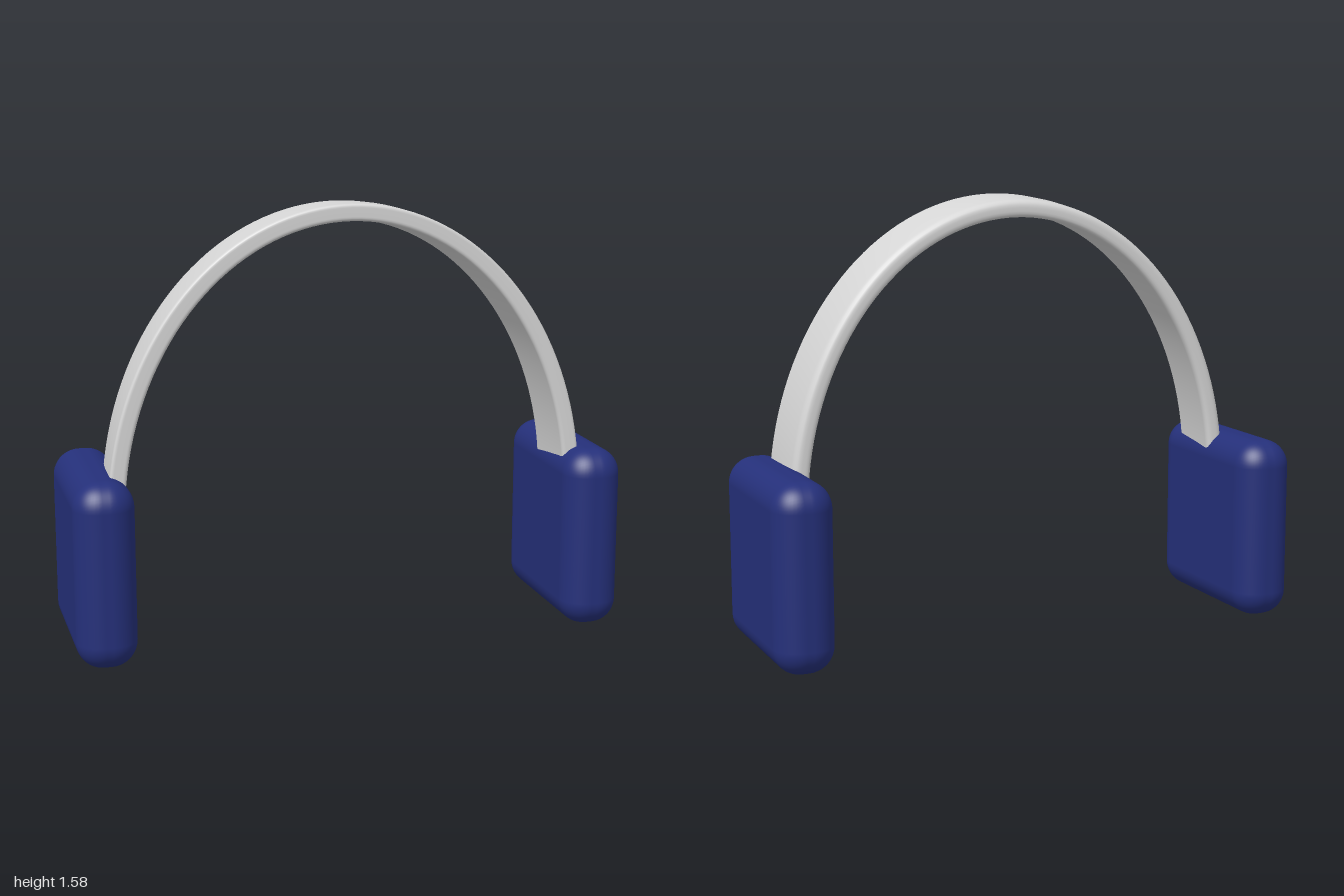
import * as THREE from 'three';
import { RoundedBoxGeometry } from 'three/addons/geometries/RoundedBoxGeometry.js';

// Rounded, slightly tilted band section: x = depth (z), y = height off the arch centreline
function bandSection() {
  const s = new THREE.Shape();
  s.moveTo(-0.015, -0.037);
  s.lineTo(0.185, -0.024);
  s.quadraticCurveTo(0.2, -0.023, 0.2, -0.008);
  s.lineTo(0.2, 0.024);
  s.quadraticCurveTo(0.2, 0.038, 0.186, 0.037);
  s.lineTo(0.08, 0.034);
  s.lineTo(-0.01, 0.027);
  s.quadraticCurveTo(-0.04, 0.024, -0.04, -0.002);
  s.lineTo(-0.04, -0.015);
  s.quadraticCurveTo(-0.04, -0.038, -0.015, -0.037);
  const pts = s.getPoints(5);
  pts.pop();
  return pts;
}

// Sweep the section over half an ellipse
function archGeometry(section, a, b, cy, steps) {
  const n = section.length, pos = [], idx = [];
  for (let i = 0; i <= steps; i++) {
    const t = (i / steps) * Math.PI;
    const c = Math.cos(t), s = Math.sin(t);
    const len = Math.hypot(c / a, s / b);
    const nx = c / a / len, ny = s / b / len;
    for (const p of section) pos.push(a * c + nx * p.y, cy + b * s + ny * p.y, p.x);
  }
  for (let i = 0; i < steps; i++) {
    for (let j = 0; j < n; j++) {
      const p = i * n + j, q = i * n + (j + 1) % n;
      idx.push(p, q, p + n, q, q + n, p + n);
    }
  }
  const g = new THREE.BufferGeometry();
  g.setAttribute('position', new THREE.Float32BufferAttribute(pos, 3));
  g.setIndex(idx);
  g.computeVertexNormals();
  return g;
}

export function createModel() {
  const model = new THREE.Group();
  model.name = 'headphones';

  const navy = new THREE.MeshStandardMaterial({ color: 0x25307a });
  navy.name = 'navy';
  const silver = new THREE.MeshStandardMaterial({ color: 0xd6d6d6, side: THREE.DoubleSide });
  silver.name = 'silver';

  // Headband, its ends buried in the ear pads
  const band = new THREE.Mesh(archGeometry(bandSection(), 0.833, 1.038, 0.5, 72), silver);
  band.name = 'headband';
  model.add(band);

  // Ear pads
  const padGeometry = new RoundedBoxGeometry(0.215, 0.665, 0.66, 6, 0.095);
  for (const [side, name] of [[1, 'leftEarPad'], [-1, 'rightEarPad']]) {
    const pad = new THREE.Mesh(padGeometry, navy);
    pad.name = name;
    pad.position.set(side * 0.8925, 0.3325, 0);
    model.add(pad);
  }
  return model;
}
